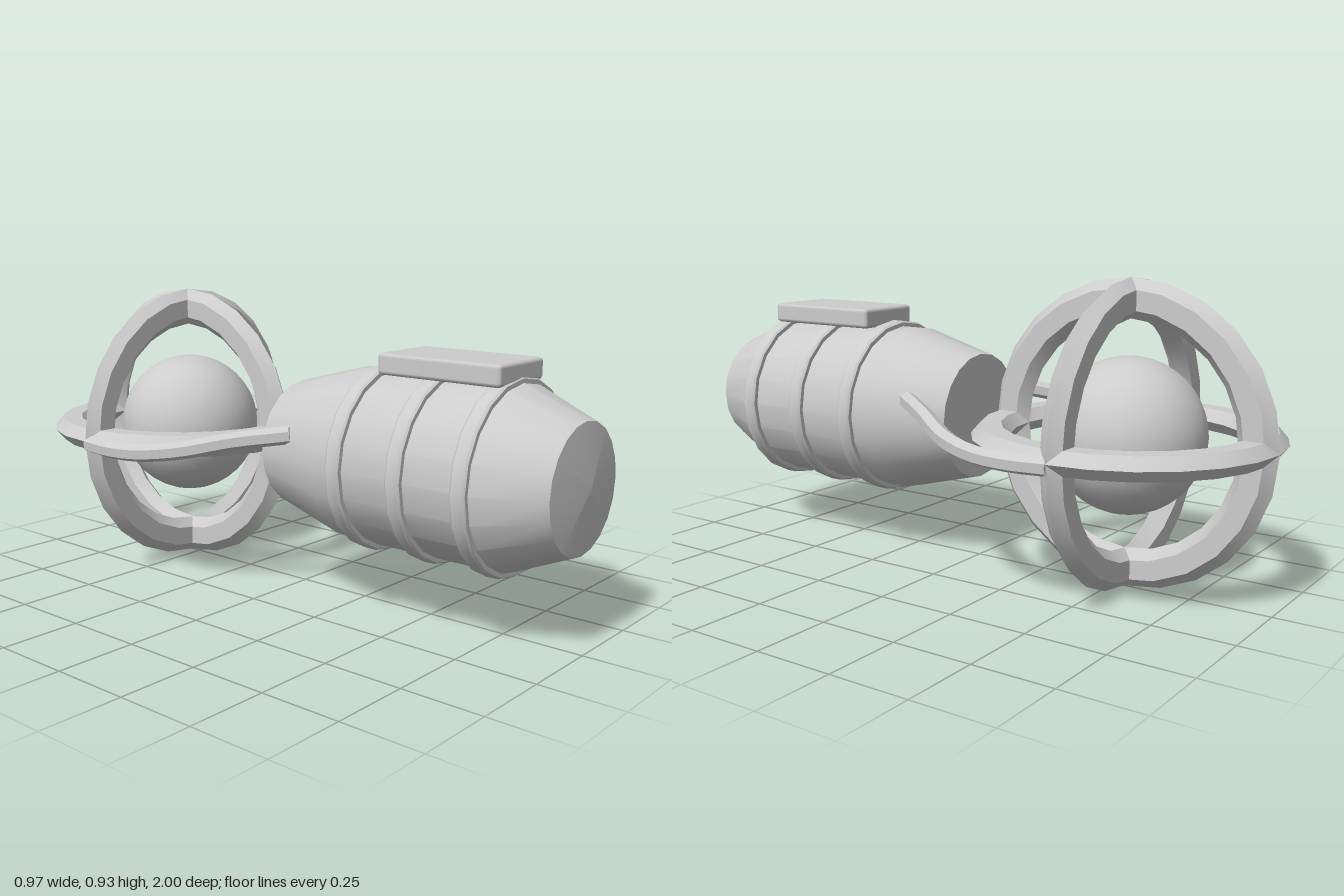
import * as THREE from 'three';
import { toCreasedNormals } from 'three/addons/utils/BufferGeometryUtils.js';
import { RoundedBoxGeometry } from 'three/addons/geometries/RoundedBoxGeometry.js';

const AXIS_Y = 0.467;  // height of the body axis and cage centre
const CAGE_Z = -0.535;

export function createModel() {
  const model = new THREE.Group();
  model.name = 'cagedSphereDevice';
  const grey = new THREE.MeshStandardMaterial({ color: 0xcccccc });
  grey.name = 'light grey';

  const add = (parent, name, geometry, x = 0, y = 0, z = 0) => {
    const mesh = new THREE.Mesh(geometry, grey);
    mesh.name = name;
    mesh.position.set(x, y, z);
    parent.add(mesh);
    return mesh;
  };

  // Solid of revolution along z from [radius, z] pairs
  const turned = (profile) => toCreasedNormals(
    new THREE.LatheGeometry(profile.map(([r, z]) => new THREE.Vector2(r, z)), 20).rotateX(Math.PI / 2), 0.5);

  // Barrel body with tapered ends and a slightly conical nose
  add(model, 'barrel', turned([
    [0, -0.005], [0.2, -0.005], [0.268, 0.25], [0.268, 0.79],
    [0.187, 0.98], [0.014, 0.999], [0, 1],
  ]), 0, AXIS_Y, 0);

  // Three raised bands
  for (const z of [0.337, 0.55, 0.761]) {
    add(model, 'band', turned([
      [0.26, -0.025], [0.281, -0.025], [0.286, -0.018],
      [0.286, 0.018], [0.281, 0.025], [0.26, 0.025],
    ]), 0, AXIS_Y, z);
  }

  // Top plate
  add(model, 'topPlate', new RoundedBoxGeometry(0.236, 0.064, 0.41, 1, 0.012), 0, 0.764, 0.577);

  // Cage of three crossing hexagonal-section rings around a ball
  const cage = new THREE.Group();
  cage.name = 'cage';
  cage.position.set(0, AXIS_Y, CAGE_Z);
  model.add(cage);
  const ring = toCreasedNormals(new THREE.TorusGeometry(0.405, 0.06, 6, 24).scale(1, 1, 0.67), 0.5);
  add(cage, 'frontRing', ring);
  add(cage, 'sideRing', ring).rotation.y = Math.PI / 2;
  add(cage, 'levelRing', ring).rotation.x = Math.PI / 2;
  add(cage, 'ball', new THREE.SphereGeometry(0.235, 32, 20));

  // Curved arms joining the body to the cage
  for (const side of [1, -1]) {
    const arm = new THREE.Group();
    arm.name = side > 0 ? 'leftArm' : 'rightArm';
    model.add(arm);
    const path = new THREE.CatmullRomCurve3([
      [0.215, 0.537, 0.125], [0.31, 0.513, -0.02], [0.4, 0.479, -0.16],
      [0.448, 0.461, -0.29], [0.459, 0.456, -0.41], [0.446, 0.457, -0.535],
    ].map(([x, y, z]) => new THREE.Vector3(side * x, y, z)));
    add(arm, 'armBar', toCreasedNormals(new THREE.TubeGeometry(path, 16, 0.028, 6), 0.5));
    // End caps facing outward along the path
    for (const t of [0, 1]) {
      const p = path.getPointAt(t);
      const cap = add(arm, 'armCap', new THREE.CircleGeometry(0.028, 6), p.x, p.y, p.z);
      cap.lookAt(p.clone().addScaledVector(path.getTangentAt(t), t ? 1 : -1));
    }
  }

  return model;
}
